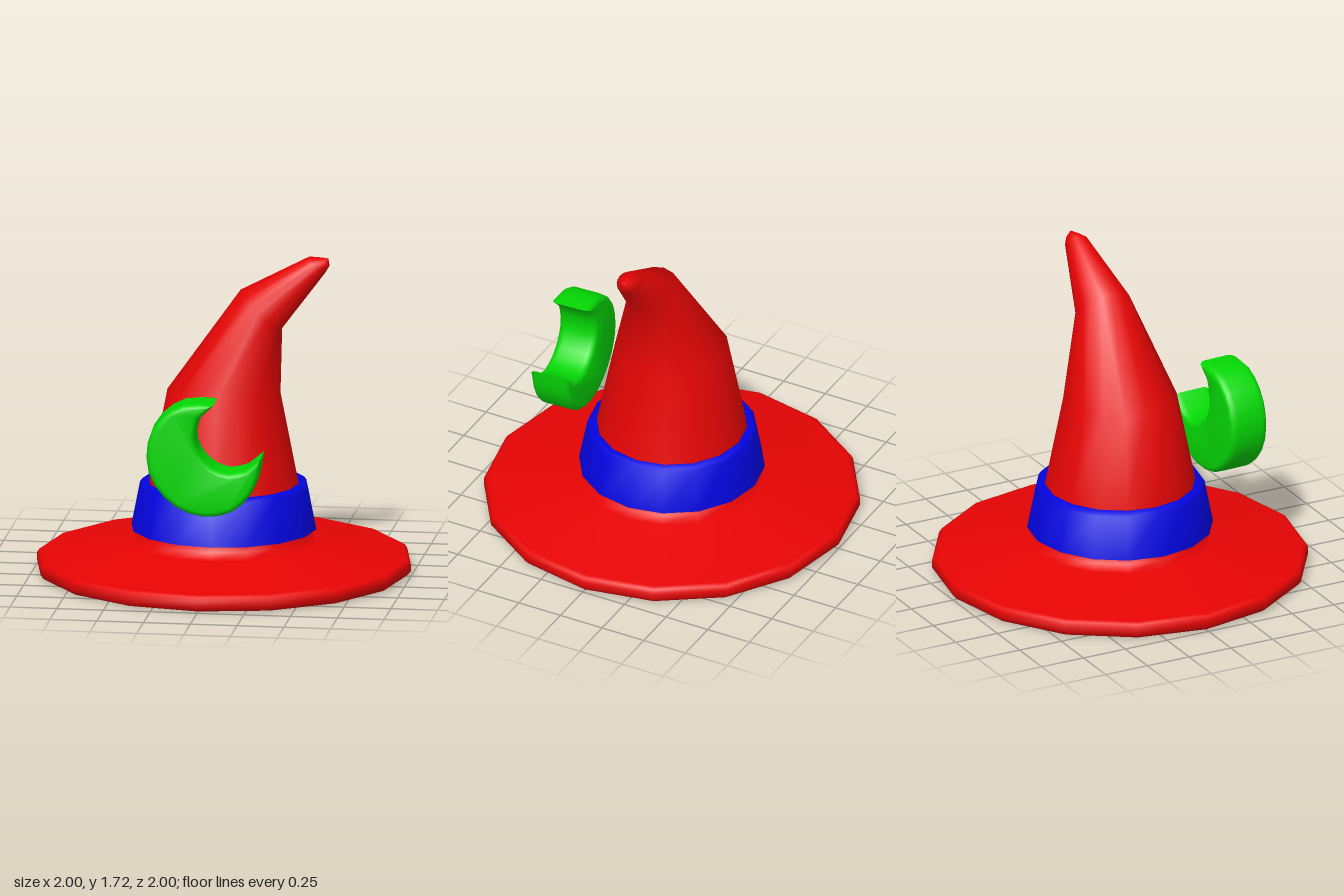
import * as THREE from 'three';
import { toCreasedNormals } from 'three/addons/utils/BufferGeometryUtils.js';

const SIDES = 16;

// Skin a row of rings [centreX, centreY, radius, tilt] with shared, smooth vertices
function loft(rings) {
  const pos = [], index = [];
  for (const [cx, cy, r, tilt = 0] of rings) {
    for (let i = 0; i < SIDES; i++) {
      const a = (i / SIDES) * Math.PI * 2;
      const u = r * Math.cos(a);
      pos.push(cx + u * Math.cos(tilt), cy + u * Math.sin(tilt), r * Math.sin(a));
    }
  }
  for (let k = 0; k < rings.length - 1; k++) {
    for (let i = 0; i < SIDES; i++) {
      const j = (i + 1) % SIDES;
      const p = k * SIDES + i, q = k * SIDES + j;
      index.push(p, p + SIDES, q, q, p + SIDES, q + SIDES);
    }
  }
  const geo = new THREE.BufferGeometry();
  geo.setAttribute('position', new THREE.Float32BufferAttribute(pos, 3));
  geo.setIndex(index);
  geo.computeVertexNormals();
  return geo;
}

function addMesh(group, name, geometry, material) {
  const mesh = new THREE.Mesh(geometry, material);
  mesh.name = name;
  group.add(mesh);
  return mesh;
}

export function createModel() {
  const group = new THREE.Group();
  group.name = 'pointedHat';
  const red = new THREE.MeshStandardMaterial({ name: 'red', color: 0xe80404 });
  const blue = new THREE.MeshStandardMaterial({ name: 'blue', color: 0x0404e0 });
  const green = new THREE.MeshStandardMaterial({ name: 'green', color: 0x04d804 });

  // Hat body: hollow underside, rounded brim, then the bent cone
  addMesh(group, 'brimAndCone', loft([
    [0, 0.24, 0.001],
    [0, 0.21, 0.18],
    [0, 0.045, 0.43],
    [0, 0.003, 0.94],
    [0, 0.008, 0.98],
    [0, 0.03, 1],
    [0, 0.065, 1],
    [0, 0.085, 0.988],
    [0, 0.093, 0.965],
    [0, 0.165, 0.49],
    [0, 0.205, 0.462],
    [0, 0.24, 0.44],
    [0, 0.485, 0.4],
    [0, 0.98, 0.302],
    [0.2, 1.43, 0.15, -0.74],
    [0.497, 1.68, 0.061, -0.73],
    [0.54, 1.698, 0.032, -0.73],
    [0.558, 1.716, 0.0005, -0.73],
  ]), red);

  // Hat band, its upper edge softly shaded into the top
  addMesh(group, 'band', toCreasedNormals(loft([
    [0, 0.24, 0.42],
    [0, 0.24, 0.494],
    [0, 0.47, 0.449],
    [0, 0.487, 0.437],
    [0, 0.487, 0.39],
  ]), 1.2), blue);

  // Crescent outline about its own centre: outer curve, then the inner bite
  const cx = 0, cy = 0.755;
  const curve = (list, n) => new THREE.SplineCurve(
    list.map(([x, y]) => new THREE.Vector2(x - cx, y - cy))).getPoints(n);
  const outline = [
    ...curve([
      [0.04, 1.06], [-0.1, 1.063], [-0.21, 1.012], [-0.29, 0.915], [-0.32, 0.79],
      [-0.3, 0.66], [-0.225, 0.55], [-0.115, 0.475], [0.01, 0.45], [0.135, 0.48],
      [0.225, 0.56], [0.275, 0.665], [0.292, 0.78],
    ], 20),
    ...curve([
      [0.21, 0.713], [0.12, 0.69], [0.03, 0.72], [-0.04, 0.795], [-0.062, 0.89], [-0.035, 0.985],
    ], 10),
  ];
  const bevel = 0.04, inset = 0.028, depth = 0.22;
  const crescentGeo = new THREE.ExtrudeGeometry(new THREE.Shape(outline), {
    depth: depth - 2 * bevel, steps: 1,
    bevelEnabled: true, bevelThickness: bevel, bevelSize: inset, bevelOffset: -inset, bevelSegments: 4,
  });
  crescentGeo.translate(0, 0, -(depth - 2 * bevel) / 2);
  const crescent = addMesh(group, 'crescentMoon', toCreasedNormals(crescentGeo, 0.9), green);
  crescent.position.set(cx, cy, 0.597);
  crescent.rotation.y = 0.045;

  return group;
}
